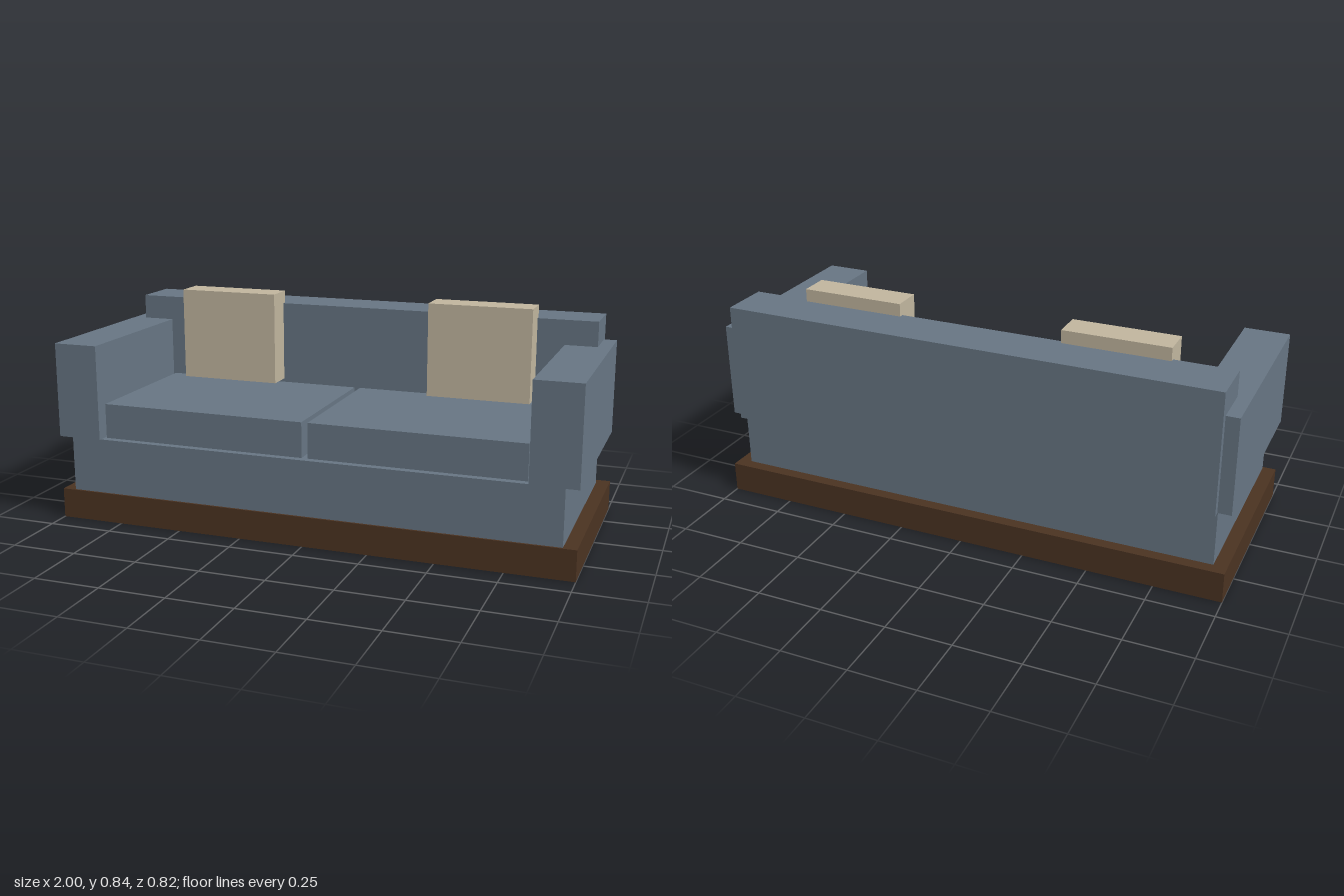
import * as THREE from 'three';

export function createModel() {
  const fabric = new THREE.MeshStandardMaterial({ color: 0x667482 });
  fabric.name = 'blue grey fabric';
  const linen = new THREE.MeshStandardMaterial({ color: 0xbfb49d });
  linen.name = 'beige linen';
  const wood = new THREE.MeshStandardMaterial({ color: 0x4a3221 });
  wood.name = 'dark wood';

  const sofa = new THREE.Group();
  sofa.name = 'sofa';

  // Box between two limits on each axis
  function block(name, material, [x0, x1], [y0, y1], [z0, z1]) {
    const mesh = new THREE.Mesh(new THREE.BoxGeometry(x1 - x0, y1 - y0, z1 - z0), material);
    mesh.position.set((x0 + x1) / 2, (y0 + y1) / 2, (z0 + z1) / 2);
    mesh.name = name;
    sofa.add(mesh);
  }

  // Same box on the left (+x) and right (-x)
  function pair(name, material, [x0, x1], y, z) {
    block('left' + name, material, [x0, x1], y, z);
    block('right' + name, material, [-x1, -x0], y, z);
  }

  // Plinth, seat base and backrest
  block('plinth', wood, [-1, 1], [0, 0.115], [-0.41, 0.408]);
  block('seatBase', fabric, [-0.95, 0.95], [0.115, 0.328], [-0.366, 0.4]);
  block('backrest', fabric, [-0.95, 0.95], [0.328, 0.789], [-0.405, -0.214]);

  // Arms, seat cushions and upright pillows
  pair('Arm', fabric, [0.826, 1], [0.328, 0.693], [-0.376, 0.41]);
  pair('SeatCushion', fabric, [0.012, 0.817], [0.328, 0.462], [-0.22, 0.372]);
  pair('Pillow', linen, [0.318, 0.72], [0.476, 0.838], [-0.231, -0.117]);

  return sofa;
}
